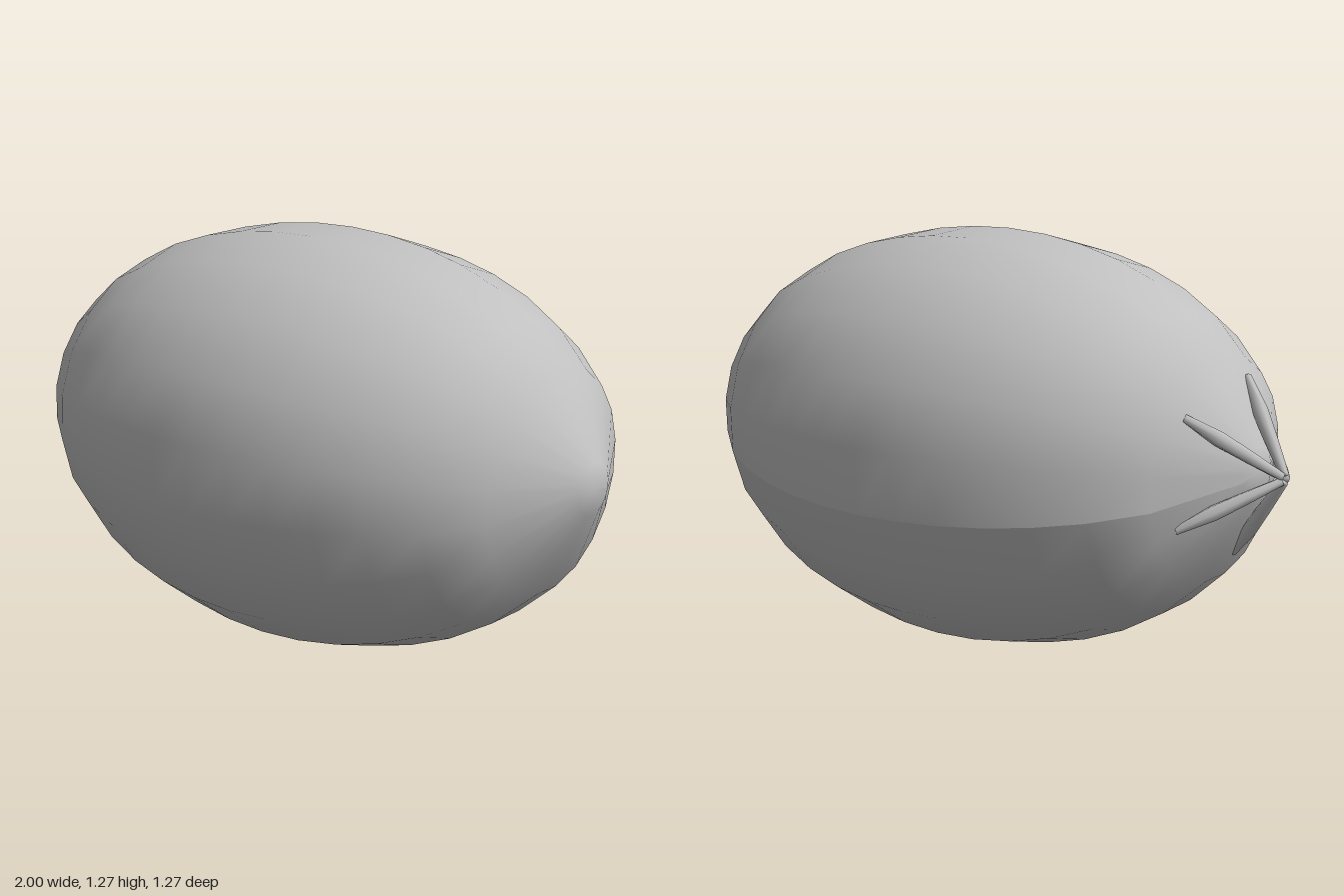
import * as THREE from 'three';

const fruitGrey = new THREE.MeshStandardMaterial({ color: 0xc0c0c0 });
fruitGrey.name = 'fruitGrey';

// Plump oval body: 15 evenly spaced rings of 20 sides along x, gently bowed
function makeBody() {
  const midX = 0.053, half = 0.947, profile = [new THREE.Vector2(0, -half)];
  for (let i = -7; i <= 7; i++) {
    const x = (i / 7) * half;
    profile.push(new THREE.Vector2(0.641 * Math.sqrt(1 - (x / 0.954) ** 2), x));
  }
  profile.push(new THREE.Vector2(0, half));
  const geo = new THREE.LatheGeometry(profile, 20, THREE.MathUtils.degToRad(169));
  geo.rotateZ(-Math.PI / 2);
  const p = geo.attributes.position;
  for (let i = 0; i < p.count; i++) {
    const t = p.getX(i) / half;
    p.setXYZ(i, p.getX(i) + midX, p.getY(i) + 0.643 + 0.023 * t * t, p.getZ(i) - 0.035 * t);
  }
  geo.computeVertexNormals();
  const body = new THREE.Mesh(geo, fruitGrey);
  body.name = 'fruitBody';
  return body;
}

// Slim spindle-shaped sepal running from start to end
function makeSepal(start, end) {
  const dir = end.clone().sub(start);
  const profile = [[0, 0], [0.013, 0], [0.02, 0.35], [0.024, 0.65], [0.013, 1], [0, 1]]
    .map(([r, t]) => new THREE.Vector2(r, t * dir.length()));
  const sepal = new THREE.Mesh(new THREE.LatheGeometry(profile, 6), fruitGrey);
  sepal.position.copy(start);
  sepal.quaternion.setFromUnitVectors(new THREE.Vector3(0, 1, 0), dir.normalize());
  sepal.name = 'sepal';
  return sepal;
}

export function createModel() {
  const model = new THREE.Group();
  model.name = 'fruit';
  model.add(makeBody());

  // Five sepals fanning from the stem point back onto the body
  const calyx = new THREE.Group();
  calyx.name = 'calyx';
  for (let i = 0; i < 5; i++) {
    const a = THREE.MathUtils.degToRad(24 + i * 72);
    const c = Math.cos(a), s = Math.sin(a);
    calyx.add(makeSepal(
      new THREE.Vector3(-0.99, 0.668 + 0.01 * c, 0.028 + 0.01 * s),
      new THREE.Vector3(-0.785, 0.668 + 0.275 * c, 0.028 + 0.275 * s)));
  }
  model.add(calyx);
  return model;
}
